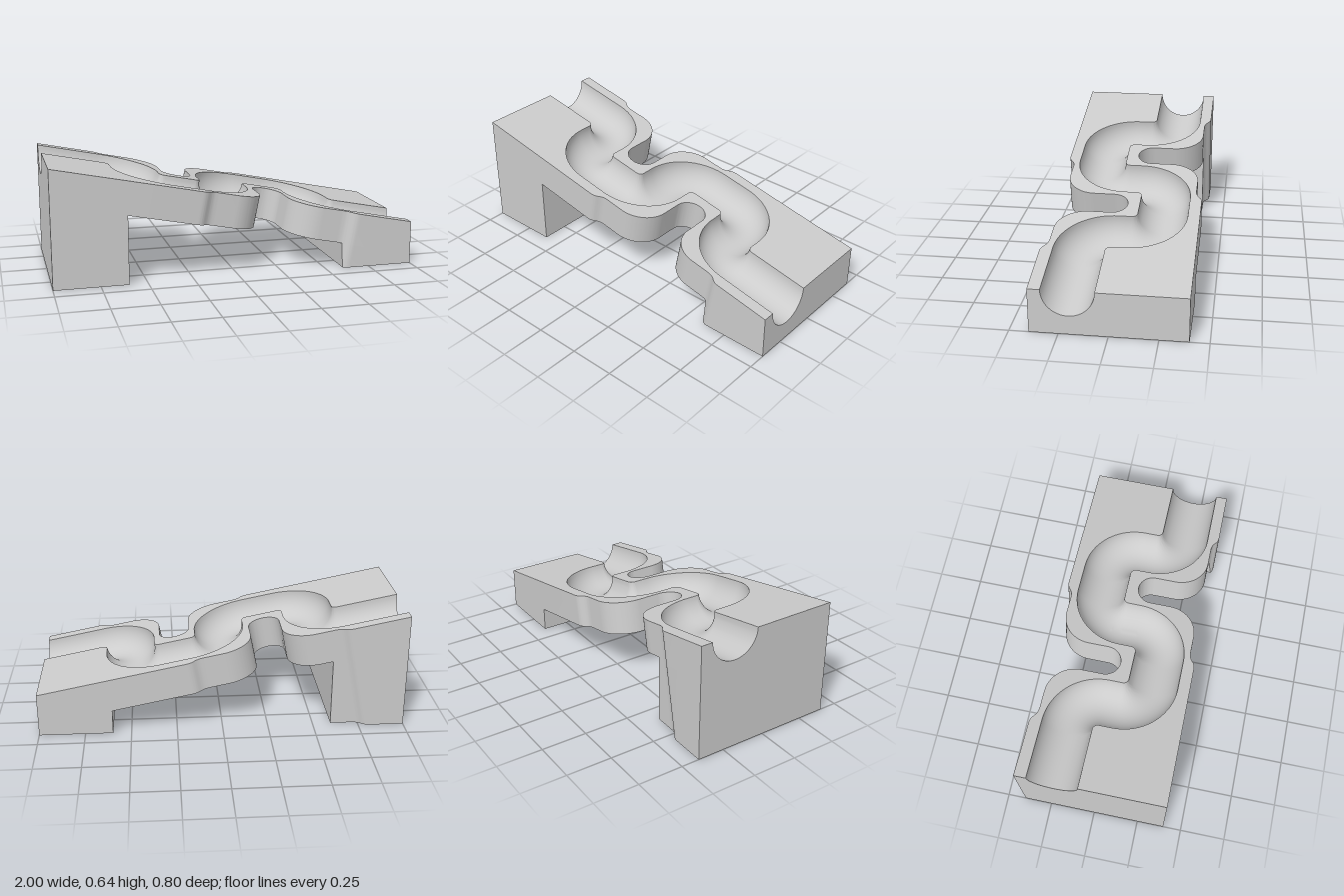
import * as THREE from 'three';
import { toCreasedNormals } from 'three/addons/utils/BufferGeometryUtils.js';

// Sloping track: top plane y = 0.44 - 0.2x. A point is given by (u, t, z): u is its x on the
// top plane, t its depth along the plane's normal. The side outline is cut along that normal.
const H = 0.44, S = 0.2, R = 0.135, LEG = 0.6;
const T = 0.185 / 1.04;                                   // deck depth
const at = (u, t, z) => new THREE.Vector3(u - S * t, H - S * u - t, z);
const uOf = (x, y) => (H - y + 5 * x) / 5.2;              // u of a point in the side view
const ground = u => H - S * u;
const deckY = x => 0.255 - S * x;
const E = 1e-6;

export function createModel() {
  const group = new THREE.Group();
  const material = new THREE.MeshStandardMaterial({ color: 0xcccccc });
  const add = (name, geometry, mat = material) => {
    const mesh = new THREE.Mesh(geometry, mat);
    mesh.name = name;
    group.add(mesh);
    return mesh;
  };

  // flat face from a 2D contour, mapped into space
  const cap = (name, contour, map, flip = false, holes = []) => {
    const shape = new THREE.Shape(contour);
    shape.holes = holes;
    const geo = new THREE.ShapeGeometry(shape, 24);
    const pos = geo.attributes.position;
    for (let i = 0; i < pos.count; i++) {
      const p = map(pos.getX(i), pos.getY(i));
      pos.setXYZ(i, p.x, p.y, p.z);
    }
    if (flip) geo.index.array.reverse();
    geo.computeVertexNormals();
    add(name, geo);
  };

  // surface through rows of points
  const skin = (name, rows, flip = false) => {
    const pts = rows.flat(), n = rows[0].length, index = [];
    for (let i = 0; i < rows.length - 1; i++) {
      for (let j = 0; j < n - 1; j++) {
        const a = i * n + j, b = a + 1, c = b + n, d = a + n;
        index.push(...(flip ? [a, c, b, a, d, c] : [a, b, c, a, c, d]));
      }
    }
    const geo = new THREE.BufferGeometry().setFromPoints(pts);
    geo.setIndex(index);
    add(name, toCreasedNormals(geo, 0.6));
  };

  // back outline in (u, z), with a round-bottomed notch; the front is its half turn
  const path = new THREE.Path();
  const q = Math.PI / 2;
  path.moveTo(-1.05, -0.4);
  path.lineTo(-0.7, -0.4);
  path.bezierCurveTo(-0.65, -0.4, -0.66, -0.365, -0.6, -0.365);
  path.lineTo(-0.5, -0.365);
  path.absarc(-0.5, -0.2, 0.165, -q, 0, false);
  path.lineTo(-0.335, -0.085);
  path.absarc(-0.25, -0.085, 0.085, 2 * q, 0, true);
  path.lineTo(-0.165, -0.2);
  path.absarc(0, -0.2, 0.165, 2 * q, 3 * q, false);
  path.lineTo(0.1, -0.365);
  path.bezierCurveTo(0.16, -0.365, 0.15, -0.4, 0.2, -0.4);
  path.lineTo(1.05, -0.4);
  const raw = path.getPoints(16);

  // add outline points where the side view has corners
  const breaks = [];
  for (const x of [-1, -LEG, LEG, 1]) breaks.push(uOf(x, 0), uOf(x, deckY(x)), uOf(x, H - S * x));
  breaks.sort((a, b) => a - b);
  const refine = pts => pts.flatMap((p, i) => {
    const n = pts[i + 1];
    if (!n) return [p];
    const mid = breaks.filter(b => b > p.x + E && b < n.x - E);
    return [p, ...mid.map(b => p.clone().lerp(n, (b - p.x) / (n.x - p.x)))];
  });
  const back = refine(raw);
  const front = refine(raw.map(p => new THREE.Vector2(-p.x, -p.y)).reverse());
  const between = (pts, a, b) => pts.filter(p => p.x >= a - E && p.x <= b + E);
  const ring = (a, b) => [...between(back, a, b), ...between(front, a, b).reverse()];

  // side walls of the deck and both legs
  const spans = {
    deckWall: u => [Math.max(0, 5 * (u - 1)), Math.min(T, 5 * (u + 1))],
    tallLegWall: u => [Math.max(T, 5 * (u + LEG)), Math.min(ground(u), 5 * (u + 1))],
    shortLegWall: u => [Math.max(T, 5 * (u - 1)), Math.min(ground(u), 5 * (u - LEG))],
  };
  for (const [name, span] of Object.entries(spans)) {
    for (const [side, pts] of [['Back', back], ['Front', front]]) {
      const rows = pts.filter(p => span(p.x)[1] >= span(p.x)[0] - E)
        .map(p => span(p.x).map(t => at(p.x, t, p.y)));
      skin(name + side, rows, side === 'Back');
    }
  }

  // winding centre line: stations [u, z, nu, nz], the normal pointing to the back edge
  const stations = [[-1, -0.2, 0, -1]];
  const bends = [
    [-0.665, -0.035, -q, 0, 1], [-0.335, 0.035, 2 * q, q, -1], [-0.165, 0.035, q, 0, -1],
    [0.165, -0.035, 2 * q, 3 * q, 1], [0.335, -0.035, -q, 0, 1], [0.665, 0.035, 2 * q, q, -1],
  ];
  for (const [cu, cz, a0, a1, s] of bends) {
    for (let i = 0; i <= 20; i++) {
      const a = a0 + (a1 - a0) * i / 20, c = Math.cos(a), d = Math.sin(a);
      stations.push([cu + 0.165 * c, cz + 0.165 * d, s * c, s * d]);
    }
  }
  stations.push([1, 0.2, 0, -1]);

  // half-round channel, ending on the vertical end faces
  const arc = Array.from({ length: 25 }, (_, j) => {
    const a = Math.PI * j / 24;
    return [R * Math.cos(a), 0.98 * R * Math.sin(a)];
  });
  skin('channel', stations.map(([u, z, nu, nz]) => arc.map(([w, t]) => {
    const end = Math.abs(u) === 1 ? S * t : 0;
    return at(u + nu * w + end, t, z + nz * w);
  })));

  // top faces on either side of the channel
  const edge = w => stations.map(([u, z, nu, nz]) => new THREE.Vector2(u + nu * w, z + nz * w));
  cap('topBack', [...between(back, -1, 1), ...edge(R).reverse()], (u, z) => at(u, 0, z), true);
  cap('topFront', [...between(front, -1, 1), ...edge(-R).reverse()], (u, z) => at(u, 0, z), true);

  // deck underside between the legs
  cap('underside', ring(uOf(-LEG, deckY(-LEG)), uOf(LEG, deckY(LEG))), (u, z) => at(u, T, z));

  for (const s of [-1, 1]) {
    const leg = s < 0 ? 'tallLeg' : 'shortLeg';

    // leg foot with two blind holes
    const [x0, x1] = s < 0 ? [-1, -LEG] : [LEG, 1];
    const foot = ring(uOf(x0, 0), uOf(x1, 0)).map(p => new THREE.Vector2(1.04 * p.x - S * H, p.y));
    const holes = [-0.2, 0.2].map(z => new THREE.Path().absarc(s * 0.8, z, 0.05, 0, 4 * q, true));
    cap(leg + 'Foot', foot, (x, z) => new THREE.Vector3(x, 0, z), false, holes);
    for (const z of [-0.2, 0.2]) {
      const inside = material.clone();
      inside.side = THREE.BackSide;
      add(leg + 'HoleWall', new THREE.CylinderGeometry(0.05, 0.05, 0.1, 24, 1, true), inside)
        .position.set(s * 0.8, 0.05, z);
      add(leg + 'HoleEnd', new THREE.CircleGeometry(0.05, 24).rotateX(q))
        .position.set(s * 0.8, 0.1, z);
    }

    // inner leg face
    const x = s * LEG;
    const inner = ring(uOf(x, deckY(x)), uOf(x, 0))
      .map(p => new THREE.Vector2(p.y, H + 5 * x - 5.2 * p.x));
    cap(leg + 'InnerFace', inner, (z, y) => new THREE.Vector3(x, y, z), s < 0);

    // end face with the channel mouth
    const top = H - S * s;
    const mouth = arc.map(([w, t]) => new THREE.Vector2(s * 0.2 + w, top - 1.04 * t));
    const end = [[-0.4, top], [-0.4, 0], [0.4, 0], [0.4, top]].map(p => new THREE.Vector2(...p));
    cap(leg + 'EndFace', [...end, ...mouth], (z, y) => new THREE.Vector3(s, y, z), s > 0);
  }
  return group;
}
